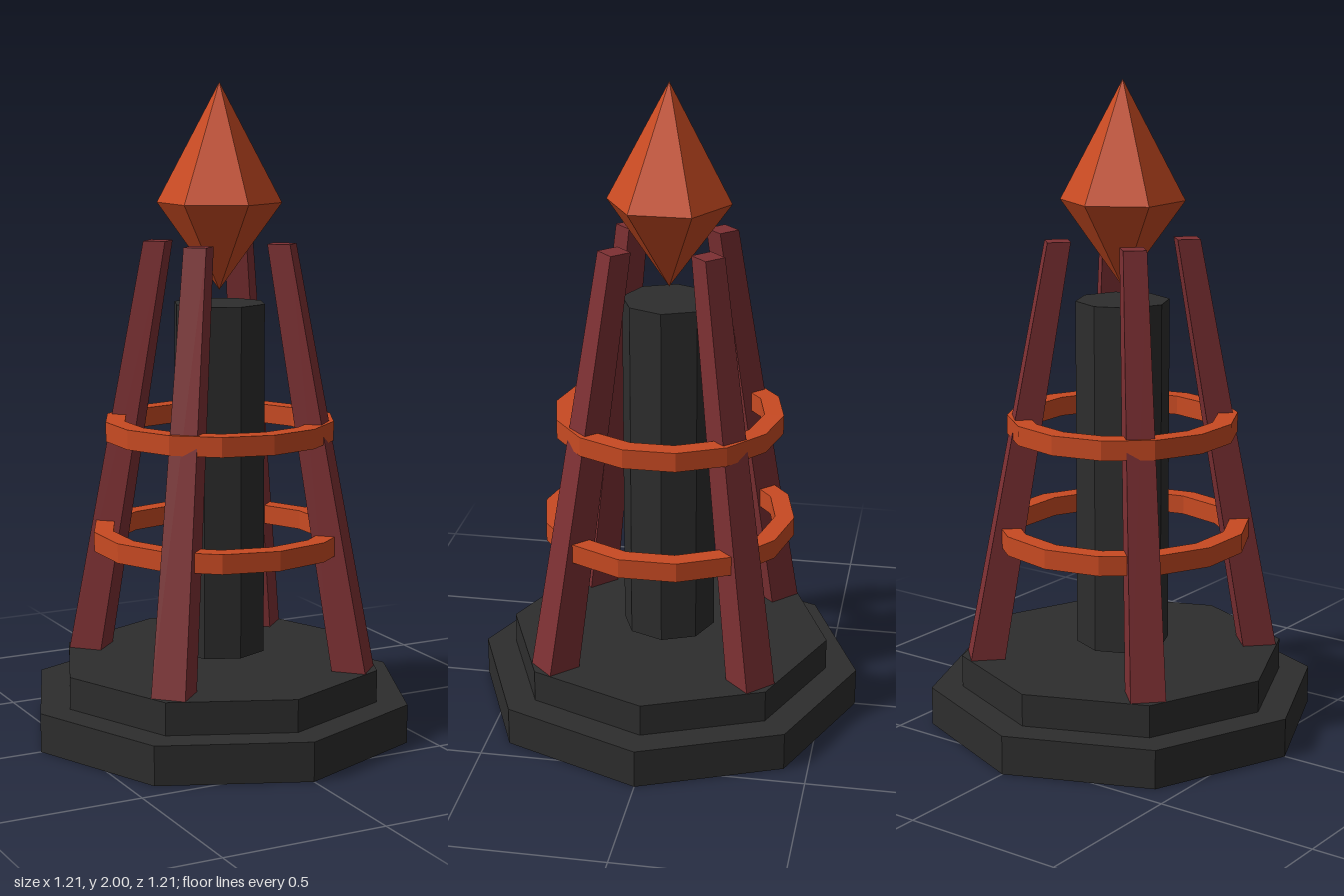
import * as THREE from 'three';

function material(name, color) {
  const m = new THREE.MeshStandardMaterial({ color, flatShading: true });
  m.name = name;
  return m;
}

export function createModel() {
  const stone = material('charcoal stone', 0x2d2d2d);
  const maroon = material('maroon', 0x7d3033);
  const orange = material('burnt orange', 0xc84a22);

  const model = new THREE.Group();
  model.name = 'crystalTower';

  function add(name, geometry, mat, y = 0) {
    const mesh = new THREE.Mesh(geometry, mat);
    mesh.name = name;
    mesh.position.y = y;
    model.add(mesh);
    return mesh;
  }

  // A prism or frustum standing between two heights
  function column(name, rTop, rBottom, y0, y1, sides, mat) {
    return add(name, new THREE.CylinderGeometry(rTop, rBottom, y1 - y0, sides), mat, (y0 + y1) / 2);
  }

  // Stepped octagonal base and the floating core
  column('lowerBase', 0.605, 0.605, 0, 0.12, 8, stone);
  column('upperBase', 0.508, 0.508, 0.12, 0.22, 8, stone);
  column('core', 0.145, 0.145, 0.25, 1.335, 8, stone);

  // Tapered square legs, sheared inwards so that both ends stay level
  const legHeight = 1.3;
  const legGeometry = new THREE.CylinderGeometry(0.05, 0.075, legHeight, 4);
  legGeometry.rotateY(Math.PI / 4);
  const p = legGeometry.attributes.position;
  for (let i = 0; i < p.count; i++) {
    const t = p.getY(i) / legHeight + 0.5;
    p.setZ(i, p.getZ(i) + THREE.MathUtils.lerp(0.431, 0.198, t));
  }
  ['frontLeft', 'backLeft', 'backRight', 'frontRight'].forEach((corner, i) => {
    const leg = add(corner + 'Leg', legGeometry, maroon, 0.22 + legHeight / 2);
    leg.rotation.y = Math.PI / 4 + i * Math.PI / 2;
  });

  // Flat fourteen-sided hoops around the legs
  function hoop(name, inner, outer, y) {
    const h = 0.03;
    const profile = [[outer, -h], [outer, h], [inner, h], [inner, -h], [outer, -h]]
      .map(([r, v]) => new THREE.Vector2(r, v));
    add(name, new THREE.LatheGeometry(profile, 14), orange, y);
  }
  hoop('lowerHoop', 0.335, 0.395, 0.61);
  hoop('upperHoop', 0.296, 0.356, 0.95);

  // Six-sided crystal with a long upper point
  const crystal = [[0, 1.375], [0.19, 1.64], [0, 2]].map(([r, y]) => new THREE.Vector2(r, y));
  add('crystal', new THREE.LatheGeometry(crystal, 6), orange);

  return model;
}
